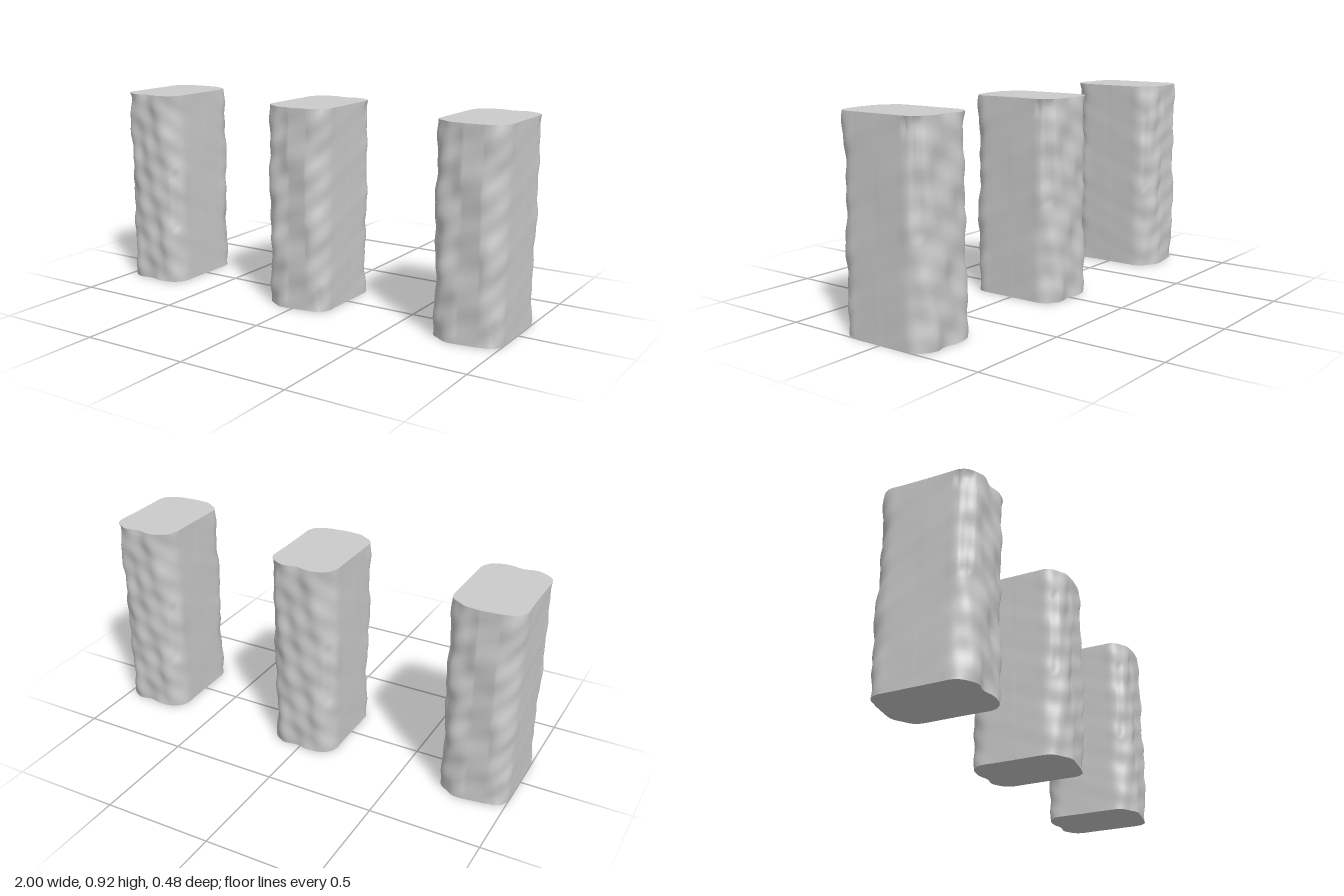
import * as THREE from 'three';
import { mergeVertices } from 'three/addons/utils/BufferGeometryUtils.js';

const HEIGHT = 0.92, SIDES = 120, ROWS = 48;

// Rounded-rectangle outline, starting mid-front: shape x is depth (z), shape y is width (x)
function outline(hz, hx, r) {
  const s = new THREE.Shape();
  s.moveTo(hz, 0);
  s.absarc(hz - r, hx - r, r, 0, Math.PI / 2);
  s.absarc(-hz + r, hx - r, r, Math.PI / 2, Math.PI);
  s.absarc(-hz + r, -hx + r, r, Math.PI, Math.PI * 1.5);
  s.absarc(hz - r, -hx + r, r, Math.PI * 1.5, Math.PI * 2);
  s.lineTo(hz, 0);
  return s.getSpacedPoints(SIDES);
}

// Vertical chips: [x side, depth start, depth end, bottom, top, cut]
const CHIPS = [
  [1, -0.21, -0.18, 0.46, 0.92, 0.006],
  [1, -0.162, -0.148, 0.85, 0.92, 0.006],
  [1, 0.19, 0.21, 0.0, 0.1, 0.004],
  [-1, 0.18, 0.205, 0.4, 0.8, 0.005],
  [-1, -0.21, -0.185, 0.25, 0.55, 0.005],
];

// Gentle weathering: long vertical waves, stronger on the front, back and corners
function weathering(x, y, z) {
  const rough = 0.15 + 0.85 * THREE.MathUtils.smoothstep(Math.abs(z), 0.1, 0.2);
  const waves = 0.0035 * Math.sin(34 * x + 7 * y + 2 * Math.sign(z))
    + 0.003 * Math.sin(61 * x - 13 * y + 18 * z + 1.3)
    + 0.003 * Math.sin(26 * y + 21 * x + 9 * z)
    + 0.002 * Math.sin(57 * y - 30 * x + 25 * z + 0.7);
  let d = rough * waves;
  for (const [side, z0, z1, y0, y1, cut] of CHIPS)
    if (x * side > 0.08 && z > z0 && z < z1 && y >= y0 && y <= y1) d -= cut;
  return d;
}

function pillarGeometry() {
  const ring = outline(0.227, 0.158, 0.09);
  let geo = new THREE.CylinderGeometry(1, 1, HEIGHT, SIDES, ROWS);
  geo.deleteAttribute('uv');
  geo = mergeVertices(geo); // joins the seam, keeps the cap edges sharp
  const p = geo.attributes.position;
  for (let i = 0; i < p.count; i++) {
    const y = p.getY(i) + HEIGHT / 2;
    if (Math.hypot(p.getX(i), p.getZ(i)) < 0.5) {
      p.setXYZ(i, 0, y, 0); // cap centre
      continue;
    }
    const turn = Math.atan2(p.getX(i), p.getZ(i)) / (Math.PI * 2);
    const k = (Math.round(turn * SIDES) + SIDES) % SIDES;
    const a = ring[(k + SIDES - 1) % SIDES], b = ring[(k + 1) % SIDES];
    const x = ring[k].y, z = ring[k].x;
    const n = new THREE.Vector2(b.y - a.y, -(b.x - a.x)).normalize(); // (z, x) outward
    const d = weathering(x, y, z);
    p.setXYZ(i, x + n.y * d, y, z + n.x * d);
  }
  geo.computeVertexNormals();
  return geo;
}

export function createModel() {
  const group = new THREE.Group();
  group.name = 'stonePillars';
  const geometry = pillarGeometry();
  const material = new THREE.MeshStandardMaterial({ color: 0xcccccc });
  // The right-hand pillar is turned half way round
  for (const [name, x, turn] of [['rightPillar', -0.84, Math.PI], ['middlePillar', 0, 0], ['leftPillar', 0.84, 0]]) {
    const pillar = new THREE.Mesh(geometry, material);
    pillar.name = name;
    pillar.position.x = x;
    pillar.rotation.y = turn;
    group.add(pillar);
  }
  return group;
}
